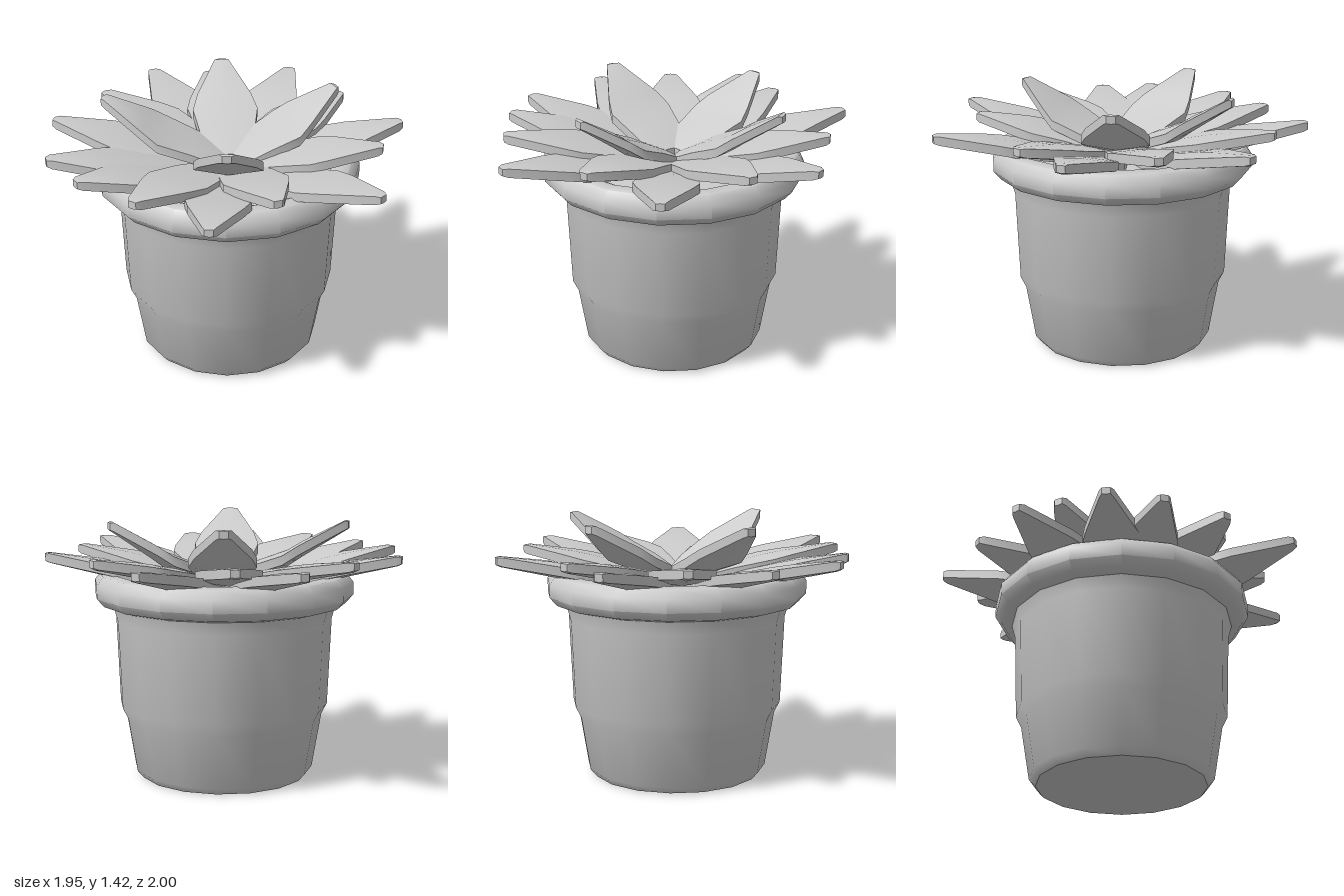
import * as THREE from 'three';
import { toCreasedNormals, mergeVertices } from 'three/addons/utils/BufferGeometryUtils.js';

const material = new THREE.MeshStandardMaterial({ color: 0xcccccc });

function part(name, geometry, parent) {
  const mesh = new THREE.Mesh(geometry, material);
  mesh.name = name;
  parent.add(mesh);
  return mesh;
}

function lathe(points, sides) {
  const g = new THREE.LatheGeometry(points.map(([r, y]) => new THREE.Vector2(r, y)), sides);
  return toCreasedNormals(g, 0.75);
}

// Leaf along +z: sections are [distance, height, half width, half thickness]
function leafGeometry(sections) {
  const positions = [];
  const index = [];
  for (const [z, y, w, h] of sections) {
    const belly = w * 0.16;
    positions.push(
      w, y - h, z, w, y + h, z, 0, y + h + w * 0.06, z,
      -w, y + h, z, -w, y - h, z, 0, y - h - belly, z
    );
  }
  const n = 6;
  for (let i = 0; i < sections.length - 1; i++) {
    for (let j = 0; j < n; j++) {
      const a = i * n + j;
      const b = i * n + (j + 1) % n;
      index.push(a, b, b + n, a, b + n, a + n);
    }
  }
  // End caps
  const last = (sections.length - 1) * n;
  for (let j = 1; j < n - 1; j++) {
    index.push(0, j + 1, j, last, last + j, last + j + 1);
  }
  const g = new THREE.BufferGeometry();
  g.setAttribute('position', new THREE.Float32BufferAttribute(positions, 3));
  g.setIndex(index);
  return toCreasedNormals(mergeVertices(g), 0.7);
}

// Each tier: heights at base, middle and tip, base radius, widest half width, leaf tips [x, z]
const tiers = [
  {
    name: 'outerLeaf', y: [1.05, 1.15, 1.225], r0: 0.18, w: 0.17,
    tips: [[-0.04, -1.0], [-0.78, -0.65], [-0.97, 0.19], [-0.76, 0.64],
      [-0.5, 0.8], [0.32, 0.99], [0.97, 0.34], [0.79, -0.54]]
  },
  {
    name: 'middleLeaf', y: [1.08, 1.17, 1.235], r0: 0.1, w: 0.175,
    tips: [[-0.45, -0.74], [-0.88, -0.23], [-0.13, 0.9], [0.52, 0.61],
      [0.8, -0.18], [0.36, -0.76]]
  },
  {
    name: 'innerLeaf', y: [1.09, 1.22, 1.4], r0: 0.03, w: 0.18,
    tips: [[-0.3, -0.57], [0.43, -0.47], [-0.67, 0.18], [0.23, 0.57]]
  }
];

export function createModel() {
  const model = new THREE.Group();
  model.name = 'pottedSucculent';

  // Pot with stepped wall and rounded rim
  const pot = part('pot', lathe([
    [0, 0], [0.46, 0], [0.495, 0.04], [0.545, 0.34], [0.575, 0.4], [0.595, 0.88],
    [0.615, 0.95], [0.67, 0.965], [0.71, 1.01], [0.71, 1.08], [0.675, 1.125],
    [0.62, 1.135], [0.57, 1.11], [0.55, 1.02]
  ], 16), model);
  pot.position.x = -0.01;

  // Soil
  const soil = part('soil', lathe([[0.57, 1.05], [0.3, 1.07], [0, 1.08]], 16), model);
  soil.position.x = -0.01;

  // Rosette of pointed leaves
  const rosette = new THREE.Group();
  rosette.name = 'rosette';
  model.add(rosette);
  for (const { name, y, r0, w, tips } of tiers) {
    for (const [x, z] of tips) {
      const length = Math.hypot(x, z) - r0;
      const at = t => r0 + length * t;
      const leaf = part(name, leafGeometry([
        [at(0), y[0], w * 0.6, 0.02],
        [at(0.25), y[0] + (y[1] - y[0]) * 0.55, w * 0.84, 0.024],
        [at(0.5), y[1], w, 0.025],
        [at(0.63), y[1] + (y[2] - y[1]) * 0.3, w * 0.84, 0.025],
        [at(0.97), y[2] - 0.003, w * 0.22, 0.024],
        [at(1), y[2], w * 0.13, 0.018]
      ]), rosette);
      leaf.rotation.y = Math.atan2(x, z);
    }
  }
  return model;
}
